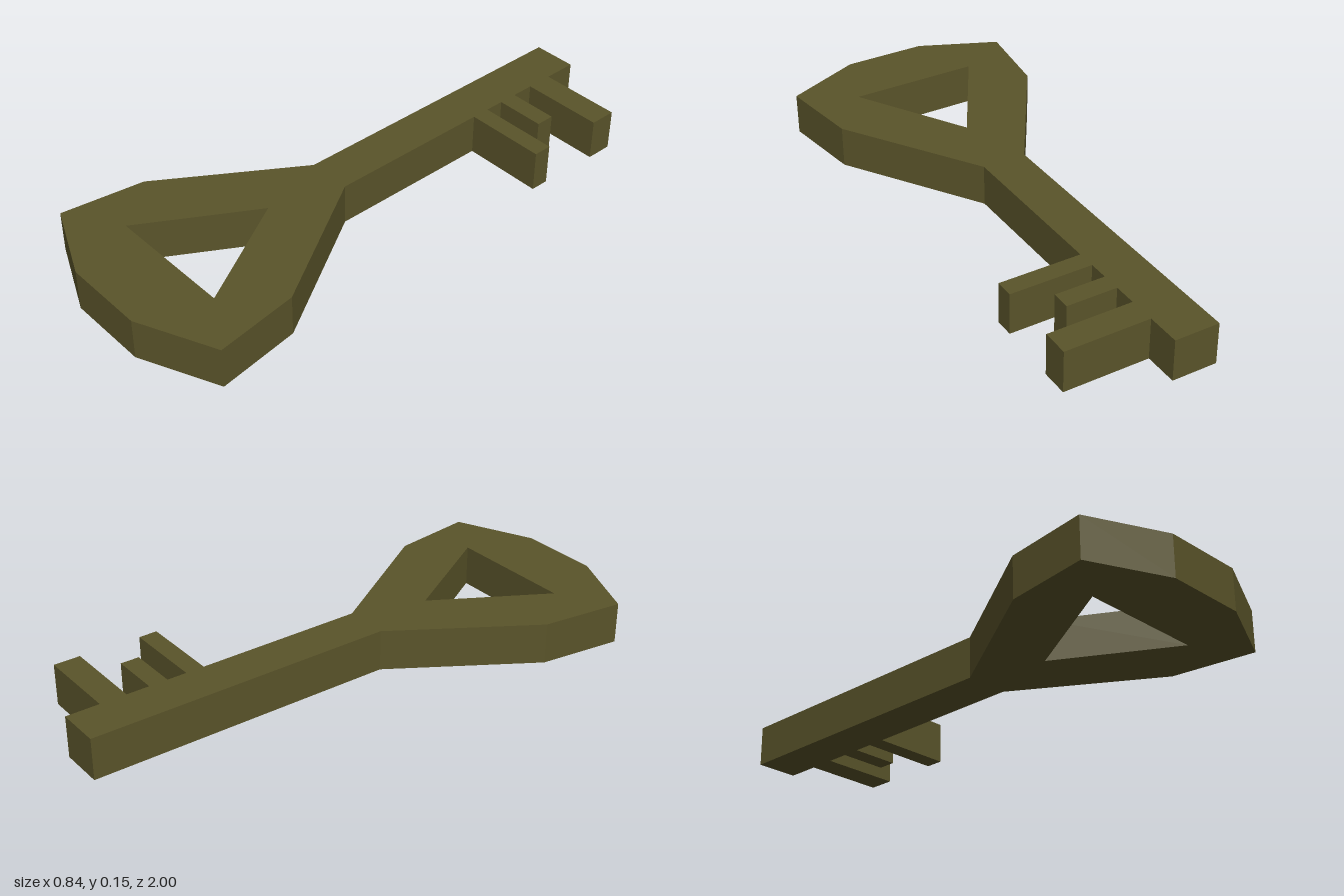
import * as THREE from 'three';

const HEIGHT = 0.148;
const SHAFT = 0.079; // half width of the shaft

export function createModel() {
  const group = new THREE.Group();
  group.name = 'key';
  const material = new THREE.MeshStandardMaterial({ color: 0x5a542a, flatShading: true });

  // Right half of the bow as [x, z], from the shaft to the rounded end
  const bow = [[SHAFT, 0.1], [0.381, 0.578], [0.422, 0.877], [0.147, 1]];

  // Teeth as [z start, z end, x reach], from the tip inwards
  const teeth = [[-0.88, -0.785, 0.38], [-0.703, -0.636, 0.258], [-0.566, -0.5, 0.373]];

  // Outline: shaft tip, teeth, bow, then the mirrored bow back to the tip
  const outline = [[-SHAFT, -1], [SHAFT, -1]];
  for (const [z0, z1, reach] of teeth) {
    outline.push([SHAFT, z0], [reach, z0], [reach, z1], [SHAFT, z1]);
  }
  outline.push(...bow, ...bow.map(([x, z]) => [-x, z]).reverse());

  const toPoints = (list) => list.map(([x, z]) => new THREE.Vector2(x, -z));
  const shape = new THREE.Shape(toPoints(outline));

  // Triangular hole in the bow, wound opposite to the outline
  shape.holes.push(new THREE.Path(toPoints([[0, 0.36], [-0.23, 0.756], [0.23, 0.756]])));

  // Lay the flat plate on the ground
  const geometry = new THREE.ExtrudeGeometry(shape, { depth: HEIGHT, bevelEnabled: false });
  geometry.rotateX(-Math.PI / 2);

  const body = new THREE.Mesh(geometry, material);
  body.name = 'keyBody';
  group.add(body);
  return group;
}
